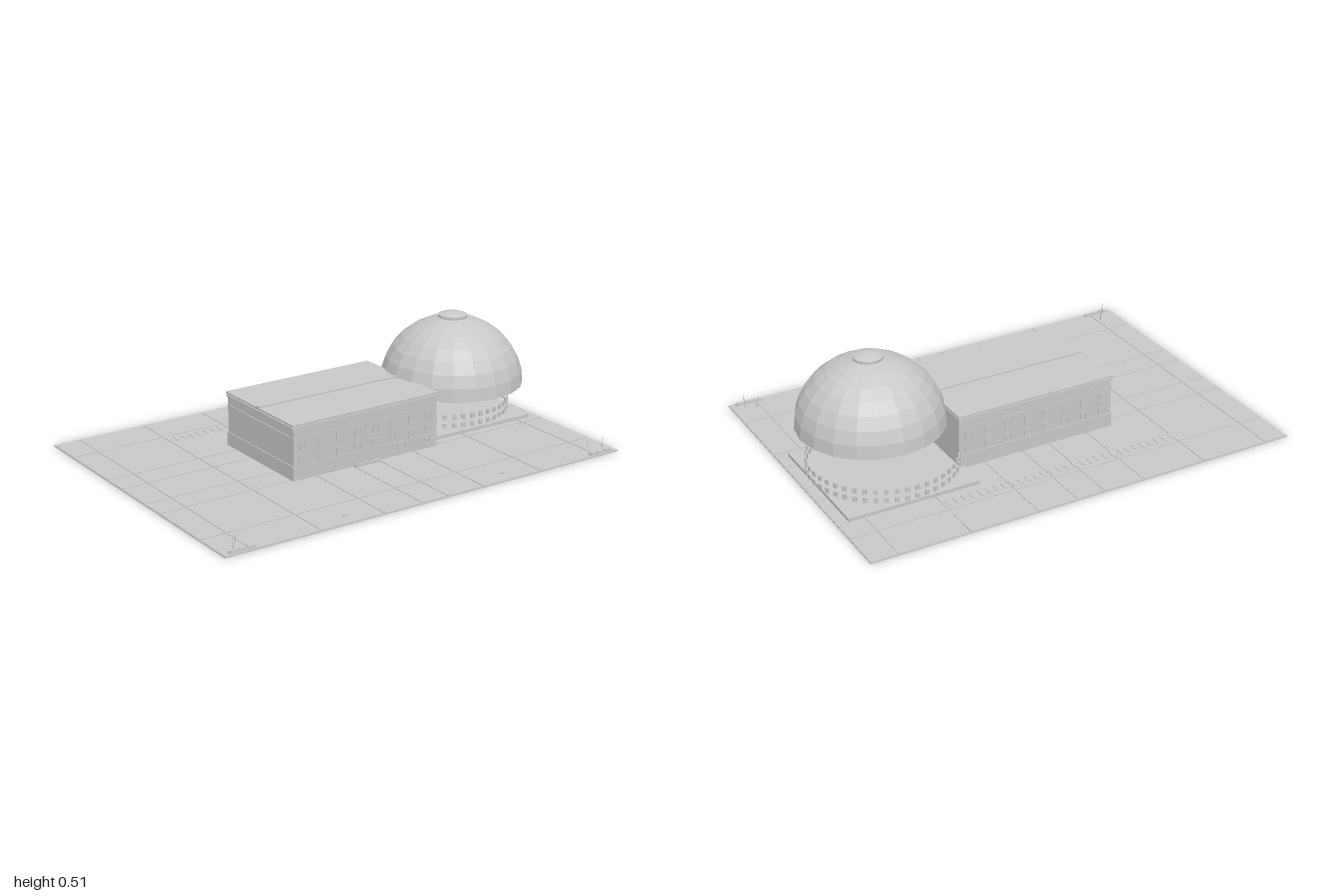
import * as THREE from 'three';

const stone = new THREE.MeshStandardMaterial({ color: 0xc8c8c8 });
stone.name = 'pale grey';

export function createModel() {
  const model = new THREE.Group();
  model.name = 'domedHall';

  const add = (name, geometry, x = 0, y = 0, z = 0, parent = model) => {
    const mesh = new THREE.Mesh(geometry, stone);
    mesh.name = name;
    mesh.position.set(x, y, z);
    parent.add(mesh);
    return mesh;
  };
  // Box given by its extents on each axis
  const block = (name, x0, x1, y0, y1, z0, z1, parent) =>
    add(name, new THREE.BoxGeometry(x1 - x0, y1 - y0, z1 - z0),
      (x0 + x1) / 2, (y0 + y1) / 2, (z0 + z1) / 2, parent);
  // Faceted solid of revolution
  const turned = (name, profile, sides, x, y, z) => {
    const g = new THREE.LatheGeometry(profile.map(p => new THREE.Vector2(...p)), sides).toNonIndexed();
    g.computeVertexNormals();
    return add(name, g, x, y, z);
  };
  const group = name => {
    const g = new THREE.Group();
    g.name = name;
    model.add(g);
    return g;
  };

  // Ground with a grid of paving slabs
  block('ground', -1, 1, 0, 0.004, -0.725, 0.72);
  const xs = [-1, -0.88, -0.56, -0.255, -0.065, 0.065, 0.25, 0.56, 0.88, 1];
  const zs = [-0.725, -0.535, -0.22, -0.1, 0.095, 0.215, 0.53, 0.72];
  const paving = group('paving');
  for (let i = 0; i < xs.length - 1; i++) {
    for (let j = 0; j < zs.length - 1; j++) {
      block('slab', xs[i] + 0.003, xs[i + 1] - 0.003, 0.004, 0.007, zs[j] + 0.003, zs[j + 1] - 0.003, paving);
    }
  }

  // Row of flat markers behind the hall
  const markers = group('markers');
  for (let i = 0; i < 30; i++) {
    const x = -0.555 + i * 0.0376;
    block('marker', x - 0.007, x + 0.007, 0.006, 0.01, -0.507, -0.463, markers);
  }

  // Long hall: base, walls, cornice, recessed neck and roof
  const hall = group('hall');
  block('base', -0.378, 0.37, 0.012, 0.075, -0.282, 0.242, hall);
  block('walls', -0.374, 0.37, 0.075, 0.235, -0.278, 0.238, hall);
  block('stringCourse', -0.378, 0.37, 0.196, 0.202, -0.281, 0.241, hall);
  block('cornice', -0.378, 0.372, 0.235, 0.246, -0.282, 0.242, hall);
  block('neck', -0.372, 0.368, 0.246, 0.251, -0.276, 0.236, hall);
  block('roof', -0.38, 0.373, 0.251, 0.26, -0.285, 0.244, hall);
  block('roofRidge', -0.38, 0.373, 0.26, 0.266, -0.038, -0.016, hall);
  block('doorstep', -0.065, 0.065, 0.007, 0.02, 0.24, 0.25, hall);

  // Window frames and panes on both long walls
  const windows = group('hallWindows');
  const framedWindow = (x, y, z, side, w, h) => {
    const f = 0.004;
    const z0 = z - 0.003, z1 = z + 0.003;
    for (const s of [-1, 1]) {
      block('jamb', x + s * w / 2 - f / 2, x + s * w / 2 + f / 2, y - h / 2, y + h / 2, z0, z1, windows);
      block('rail', x - w / 2, x + w / 2, y + s * h / 2 - f / 2, y + s * h / 2 + f / 2, z0, z1, windows);
    }
    block('pane', x - w / 2, x + w / 2, y - h / 2, y + h / 2, z - 0.001, z + 0.001, windows);
  };
  for (const [z, side] of [[0.239, 1], [-0.279, -1]]) {
    for (let i = 0; i < 8; i++) {
      const x = -0.33 + i * 0.0936;
      framedWindow(x, 0.162, z, side, 0.026, 0.034);
      framedWindow(x, 0.098, z, side, 0.026, 0.032);
    }
  }
  for (let i = 0; i < 5; i++) framedWindow(0.17 + i * 0.042, 0.054, 0.243, 1, 0.018, 0.022);

  // Square platform and the two rings of free-standing window panels
  block('platform', 0.35, 0.948, 0.007, 0.022, -0.42, 0.178);
  const ring = group('windowRing');
  const panel = new THREE.BoxGeometry(0.018, 0.022, 0.007);
  for (let i = 0; i < 46; i++) {
    const a = i / 46 * Math.PI * 2;
    const x = 0.648 + Math.sin(a) * 0.322;
    const z = -0.12 + Math.cos(a) * 0.322;
    if (x < 0.378) continue;
    for (const y of [0.054, 0.093]) add('windowPanel', panel, x, y, z, ring).rotation.y = a;
  }

  // Faceted dome with a closed underside
  const dome = [[0, 0]];
  for (let i = 0; i <= 8; i++) {
    const a = i / 8 * Math.PI / 2;
    dome.push([Math.max(0, Math.cos(a) * 0.322), Math.sin(a) * 0.302]);
  }
  turned('dome', dome, 20, 0.65, 0.19, -0.02);

  // Lantern on top of the dome
  turned('lanternDrum', [[0.052, -0.012], [0.052, 0.014]], 20, 0.65, 0.488, -0.018);
  turned('lanternCap', [[0, 0], [0.064, 0], [0.064, 0.006], [0.045, 0.013], [0.022, 0.018], [0, 0.02]],
    20, 0.65, 0.495, -0.018);
  const lantern = group('lanternWindows');
  const light = new THREE.BoxGeometry(0.012, 0.012, 0.006);
  for (let i = 0; i < 20; i++) {
    const a = i / 20 * Math.PI * 2;
    add('lanternWindow', light, 0.65 + Math.sin(a) * 0.062, 0.494, -0.018 + Math.cos(a) * 0.062, lantern).rotation.y = a;
  }

  // Corner benches with poles, mirrored left and right
  for (const s of [-1, 1]) {
    const corner = group(s < 0 ? 'rightCorner' : 'leftCorner');
    const cx = s * 0.912;
    block('bench', cx - 0.06, cx + 0.06, 0.007, 0.012, 0.69, 0.71, corner);
    for (const dx of [-0.04, 0, 0.04]) {
      block('seat', cx + dx - 0.016, cx + dx + 0.016, 0.012, 0.017, 0.692, 0.708, corner);
    }
    add('tallPole', new THREE.CylinderGeometry(0.0015, 0.0015, 0.06, 6), s * 0.94, 0.035, 0.68, corner);
    add('shortPole', new THREE.CylinderGeometry(0.0015, 0.0015, 0.034, 6), s * 0.9, 0.023, 0.63, corner);
    block('kerbStone', s * 0.4 - 0.01, s * 0.4 + 0.01, 0.007, 0.013, 0.65, 0.656, corner);
  }

  return model;
}
